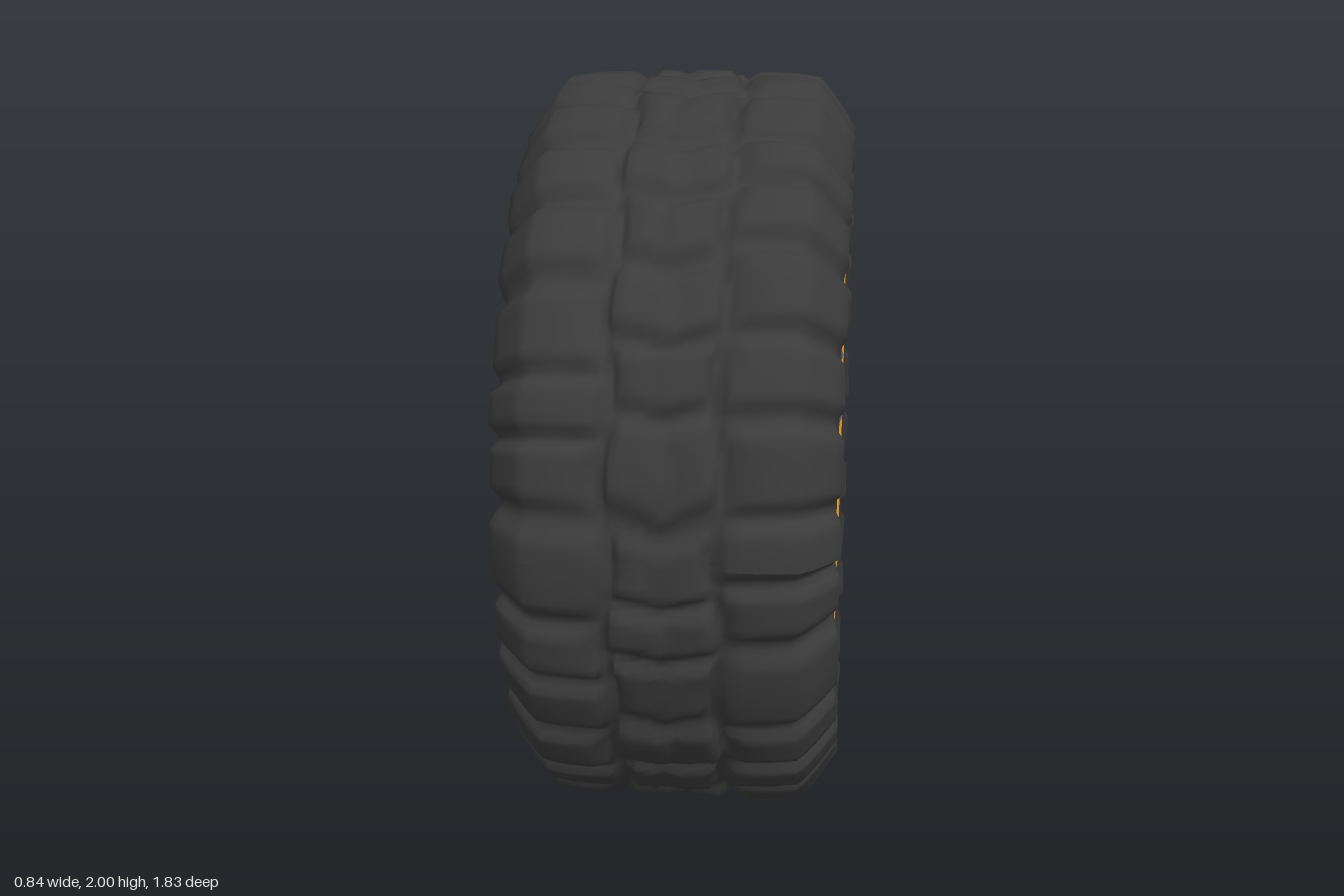
import * as THREE from 'three';

const tyreMat = new THREE.MeshStandardMaterial({ color: 0x3b3b3c });
const rimMat = new THREE.MeshStandardMaterial({ color: 0xf4a431, side: THREE.DoubleSide });
const hubMat = new THREE.MeshStandardMaterial({ color: 0x686b72, flatShading: true });
const spokeMat = new THREE.MeshStandardMaterial({ color: 0x686b72 });

function addMesh(parent, name, geometry, material) {
  const mesh = new THREE.Mesh(geometry, material);
  mesh.name = name;
  parent.add(mesh);
  return mesh;
}

// Lathe around the x axis; profile is [x, radius] with x rising for outward faces
function latheX(profile, sides) {
  const points = profile.map(([x, r]) => new THREE.Vector2(r, x));
  return new THREE.LatheGeometry(points, sides).rotateZ(-Math.PI / 2);
}

// Move every vertex by a rule given (x, radius, angle, vertex)
function reshape(geometry, rule) {
  const pos = geometry.attributes.position;
  const v = new THREE.Vector3();
  for (let i = 0; i < pos.count; i++) {
    v.fromBufferAttribute(pos, i);
    rule(v.x, Math.hypot(v.y, v.z), Math.atan2(v.z, v.y), v);
    pos.setXYZ(i, v.x, v.y, v.z);
  }
  geometry.computeVertexNormals();
  return geometry;
}

// Point on the wheel face: angle in degrees from the top
function facePoint(x, r, degrees) {
  const a = THREE.MathUtils.degToRad(degrees);
  return new THREE.Vector3(x, r * Math.cos(a), r * Math.sin(a));
}

// Tyre body with three rows of rounded tread blocks pressed in by grooves
function tyreGeometry() {
  const half = [
    [0.00, 1.0], [0.025, 1.0], [0.05, 1.0], [0.09, 1.0], [0.115, 1.0], [0.13, 1.0], [0.15, 1.0],
    [0.165, 1.0], [0.20, 1.0], [0.26, 0.998], [0.325, 0.988], [0.35, 0.96],
    [0.378, 0.922], [0.402, 0.885], [0.42, 0.855], [0.42, 0.82], [0.406, 0.785],
    [0.405, 0.72], [0.40, 0.65], [0.388, 0.585],
  ];
  const mirrored = half.slice(1).reverse().map(([x, r]) => [-x, r]);
  const blocks = 30;
  const { smoothstep, clamp } = THREE.MathUtils;
  return reshape(latheX([...mirrored, ...half], blocks * 12), (x, r, angle, v) => {
    const ax = Math.abs(x);
    const row = ax < 0.14 ? 0 : Math.sign(x);
    // Uneven block spacing, slanted the other way on each half of the middle row
    const wobble = 0.12 * Math.sin(angle * 7 + row * 2) + 0.1 * Math.sin(angle * 11 + row);
    const slant = row === 0 ? 1.5 * ax : 0.25 * ax;
    const phase = angle * blocks / (2 * Math.PI) + row * 0.2 + slant + wobble;
    const toGap = 0.5 - Math.abs(phase - Math.floor(phase) - 0.5);
    const across = 0.028 * (1 - smoothstep(toGap, 0.03, 0.22));
    const around = 0.038 * (1 - smoothstep(Math.abs(ax - 0.14 - 0.012 * Math.sin(angle * 15)), 0.006, 0.03));
    const split = 0.012 * (1 - smoothstep(Math.abs(x - 0.03 * Math.sin(angle * 15)), 0.0, 0.035));
    const uneven = 0.003 * (1 + Math.sin(angle * 17 + row * 3));
    const depth = smoothstep(r, 0.77, 0.84) * (Math.max(across, around, split) + uneven);
    // Press towards the middle of the tyre section
    const inX = -x * 0.6, inR = 0.68 - r, len = Math.hypot(inX, inR);
    const newR = r + depth * inR / len;
    v.x += depth * inX / len;
    v.y *= newR / r;
    // The tread is slightly narrower front to back, the bead is round
    v.z *= newR / r * (1 - 0.083 * clamp((r - 0.6) / 0.4, 0, 1));
  });
}

// Spoke flaring at both ends, running from the hub to the rim
function addSpoke(parent, from, to) {
  const length = from.distanceTo(to);
  const geo = reshape(new THREE.CylinderGeometry(1, 1, length, 8, 8), (x, r, angle, v) => {
    const t = v.y / length + 0.5;
    const ends = Math.pow(Math.abs(2 * t - 1), 2.5);
    v.x *= 0.038 + 0.015 * ends;
    v.z *= 0.03 + (t < 0.5 ? 0.03 : 0.018) * ends;
  });
  const spoke = addMesh(parent, 'spoke', geo, spokeMat);
  spoke.position.addVectors(from, to).multiplyScalar(0.5);
  // Broad side runs along the wheel's depth
  const up = to.clone().sub(from).normalize();
  const side = new THREE.Vector3(1, 0, 0).cross(up).normalize();
  const depth = up.clone().cross(side);
  spoke.quaternion.setFromRotationMatrix(new THREE.Matrix4().makeBasis(depth, up, side));
}

// Disc facing +x
function addDisc(parent, name, radiusFront, radiusBack, depth, sides, center) {
  const geo = new THREE.CylinderGeometry(radiusFront, radiusBack, depth, sides).rotateZ(-Math.PI / 2);
  const disc = addMesh(parent, name, geo, hubMat);
  disc.position.copy(center);
  return disc;
}

export function createModel() {
  const model = new THREE.Group();
  const wheel = new THREE.Group();
  wheel.name = 'wheel';
  wheel.position.y = 1;
  model.add(wheel);

  addMesh(wheel, 'tyre', tyreGeometry(), tyreMat);

  // Rim rings are slightly oval inside and ragged outside
  const ragged = (x, r, angle, v) => {
    if (r < 0.5) v.z *= 0.97;
    if (r > 0.59) {
      const k = 1 + 0.005 * Math.sin(angle * 37) + 0.005 * Math.sin(angle * 53);
      v.y *= k;
      v.z *= k;
    }
  };
  // Flat flange on the spoke side, narrower lip on the open side
  const flange = latheX([[0.37, 0.6], [0.401, 0.598], [0.402, 0.56], [0.40, 0.51], [0.385, 0.486], [0.35, 0.478], [0.29, 0.478]], 120);
  addMesh(wheel, 'outerFlange', reshape(flange, ragged), rimMat);
  const lip = latheX([[-0.37, 0.6], [-0.401, 0.598], [-0.402, 0.57], [-0.395, 0.545], [-0.36, 0.53]].reverse(), 120);
  addMesh(wheel, 'innerLip', reshape(lip, ragged), rimMat);

  // Coarse barrel, widening towards the open back
  const barrel = latheX([[-0.392, 0.55], [-0.30, 0.54], [0.0, 0.515], [0.30, 0.485], [0.36, 0.49]], 12);
  addMesh(wheel, 'barrel', reshape(barrel, ragged), rimMat);

  // Six spokes on each side of the centre line, dished inwards to the hub
  const hubAngles = [20, 42, 72, 107, 143, 164];
  const rimAngles = [19.5, 40, 77, 101, 145, 168];
  for (const side of [1, -1]) {
    rimAngles.forEach((rimAngle, i) => {
      addSpoke(wheel, facePoint(0.285, 0.165, side * hubAngles[i]), facePoint(0.352, 0.478, side * rimAngle));
    });
    // Short bridge joining the two level spokes at the rim
    const ends = [77, 89, 101].map((a) => facePoint(0.33, 0.465, side * a));
    const bridge = new THREE.TubeGeometry(new THREE.CatmullRomCurve3(ends), 8, 0.022, 6);
    addMesh(wheel, 'spokeBridge', bridge, spokeMat);
  }

  // Five-sided hub with centre cap
  const hub = addDisc(wheel, 'hub', 0.225, 0.245, 0.11, 5, new THREE.Vector3(0.265, 0, 0));
  hub.rotation.x = -Math.PI / 2;
  addDisc(wheel, 'hubPlate', 0.16, 0.19, 0.03, 10, new THREE.Vector3(0.33, 0, 0));
  addDisc(wheel, 'capRing', 0.115, 0.13, 0.02, 8, new THREE.Vector3(0.35, 0, 0));
  addDisc(wheel, 'centreCap', 0.07, 0.10, 0.015, 12, new THREE.Vector3(0.365, 0, 0));

  // Wheel nuts
  for (let i = 0; i < 5; i++) {
    addDisc(wheel, 'wheelNut', 0.02, 0.028, 0.04, 6, facePoint(0.335, 0.17, i * 72));
  }
  return model;
}
